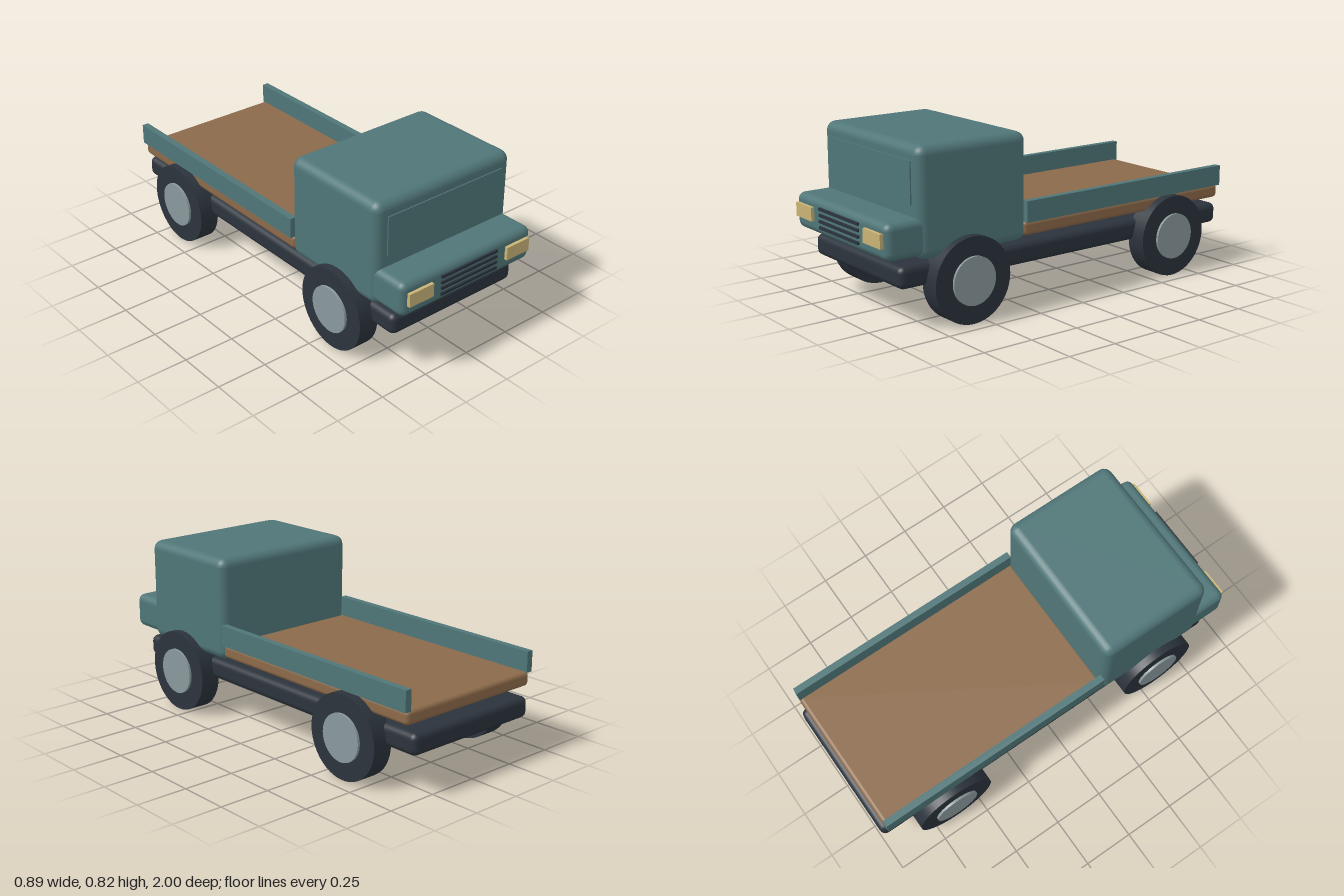
import * as THREE from 'three';
import { RoundedBoxGeometry } from 'three/addons/geometries/RoundedBoxGeometry.js';

const material = (name, color) => {
  const m = new THREE.MeshStandardMaterial({ color });
  m.name = name;
  return m;
};

export function createModel() {
  const teal = material('teal paint', 0x507678);
  const wood = material('brown wood', 0x8c6a4a);
  const dark = material('dark rubber and steel', 0x2b333c);
  const grey = material('hub grey', 0x8a999d);
  const yellow = material('lamp yellow', 0xc9b375);

  const truck = new THREE.Group();
  truck.name = 'flatbedTruck';

  // Box given by its [min, max] extents on each axis, optionally rounded
  const box = (name, mat, [x0, x1], [y0, y1], [z0, z1], radius = 0) => {
    const size = [x1 - x0, y1 - y0, z1 - z0];
    const geometry = radius
      ? new RoundedBoxGeometry(...size, 3, radius)
      : new THREE.BoxGeometry(...size);
    const mesh = new THREE.Mesh(geometry, mat);
    mesh.name = name;
    mesh.position.set((x0 + x1) / 2, (y0 + y1) / 2, (z0 + z1) / 2);
    truck.add(mesh);
    return mesh;
  };

  // Main bodies
  box('chassis', dark, [-0.365, 0.365], [0.195, 0.297], [-1, 0.905], 0.03);
  box('cab', teal, [-0.397, 0.397], [0.317, 0.818], [0.245, 0.824], 0.045);
  box('hood', teal, [-0.389, 0.389], [0.337, 0.505], [0.6, 0.984], 0.035);
  box('windscreen', teal, [-0.336, 0.336], [0.557, 0.75], [0.821, 0.83]);
  box('loadBed', wood, [-0.39, 0.39], [0.335, 0.403], [-0.978, 0.26], 0.02);

  // Grille bars
  for (let i = 0; i < 4; i++) {
    const y = 0.379 + i * 0.0287;
    box('grilleBar', dark, [-0.168, 0.168], [y - 0.0065, y + 0.0065], [0.975, 0.993]);
  }

  // Axially turned cylinder lying along x
  const disc = (name, mat, radius, width, x, z) => {
    const geometry = new THREE.CylinderGeometry(radius, radius, width, 48).rotateZ(Math.PI / 2);
    const mesh = new THREE.Mesh(geometry, mat);
    mesh.name = name;
    mesh.position.set(x, 0.2, z);
    truck.add(mesh);
  };

  // Paired parts on the left and right
  for (const side of [-1, 1]) {
    const span = (a, b) => (side > 0 ? [a, b] : [-b, -a]);
    box('headlight', yellow, span(0.222, 0.36), [0.397, 0.462], [0.97, 1]);
    box('sideBoard', teal, span(0.37, 0.403), [0.4, 0.5], [-0.978, 0.25]);
    for (const z of [0.573, -0.63]) {
      disc('tyre', dark, 0.2, 0.1, side * 0.385, z);
      disc('hub', grey, 0.112, 0.04, side * 0.427, z);
    }
  }

  return truck;
}
